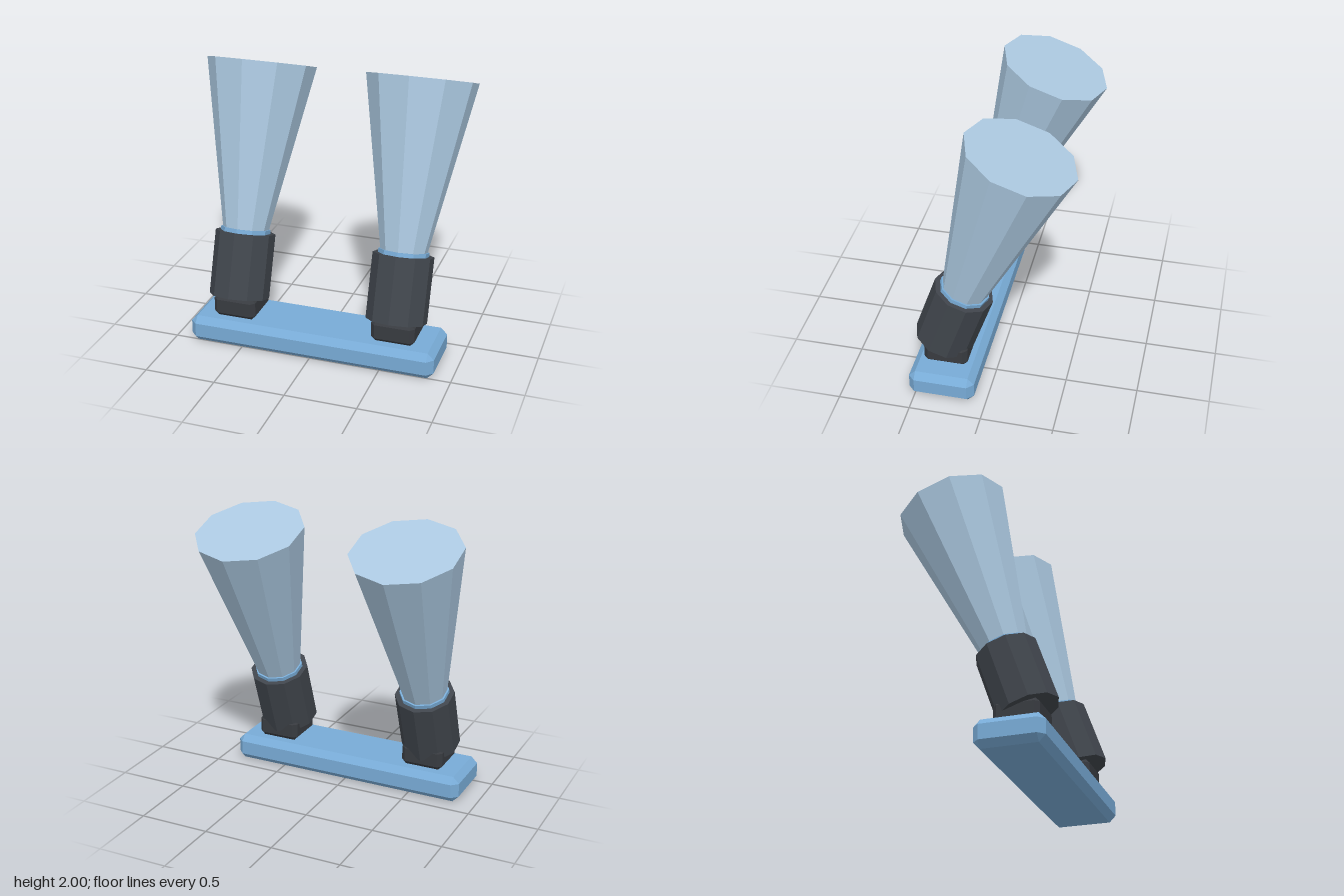
import * as THREE from 'three';
import { ConvexGeometry } from 'three/addons/geometries/ConvexGeometry.js';

const paint = (name, color) => {
  const m = new THREE.MeshStandardMaterial({ color });
  m.name = name;
  m.flatShading = true;
  return m;
};

// Box with every edge cut at 45 degrees
function chamferBox(w, h, d, c) {
  const pts = [];
  for (const sx of [-1, 1]) for (const sy of [-1, 1]) for (const sz of [-1, 1]) {
    const x = w / 2, y = h / 2, z = d / 2;
    pts.push(new THREE.Vector3(sx * x, sy * (y - c), sz * (z - c)));
    pts.push(new THREE.Vector3(sx * (x - c), sy * y, sz * (z - c)));
    pts.push(new THREE.Vector3(sx * (x - c), sy * (y - c), sz * z));
  }
  return new ConvexGeometry(pts);
}

export function createModel() {
  const model = new THREE.Group();
  model.name = 'twinSpotlight';
  const blue = paint('base blue', 0x78abd6);
  const beamBlue = paint('pale beam blue', 0xabc8e0);
  const dark = paint('housing grey', 0x40454c);
  const footDark = paint('foot grey', 0x383b40);

  const add = (parent, name, geometry, material, x, y, z) => {
    const mesh = new THREE.Mesh(geometry, material);
    mesh.name = name;
    mesh.position.set(x, y, z);
    parent.add(mesh);
  };

  // Ten-sided section between two heights on the lamp axis
  const section = (rTop, rBottom, from, to, parent, name, material) =>
    add(parent, name, new THREE.CylinderGeometry(rTop, rBottom, to - from, 10),
      material, 0, (from + to) / 2, 0);

  // Base bar
  add(model, 'base', chamferBox(1.76, 0.19, 0.46, 0.045), blue, 0, 0.095, 0.312);

  for (const side of [-1, 1]) {
    const x = side * 0.574;
    // Mounting foot
    add(model, 'foot', chamferBox(0.306, 0.16, 0.306, 0.03), footDark, x, 0.27, 0.312);

    // Lamp leaning back, origin at the top of its housing
    const lamp = new THREE.Group();
    lamp.name = side < 0 ? 'rightLamp' : 'leftLamp';
    lamp.position.set(x, 0.748, 0.203);
    lamp.rotation.x = -0.33;
    section(0.21, 0.21, -0.455, 0, lamp, 'housing', dark);
    section(0.174, 0.174, -0.01, 0.028, lamp, 'lens', blue);
    section(0.381, 0.16, 0.02, 1.192, lamp, 'beam', beamBlue);
    model.add(lamp);
  }
  return model;
}
